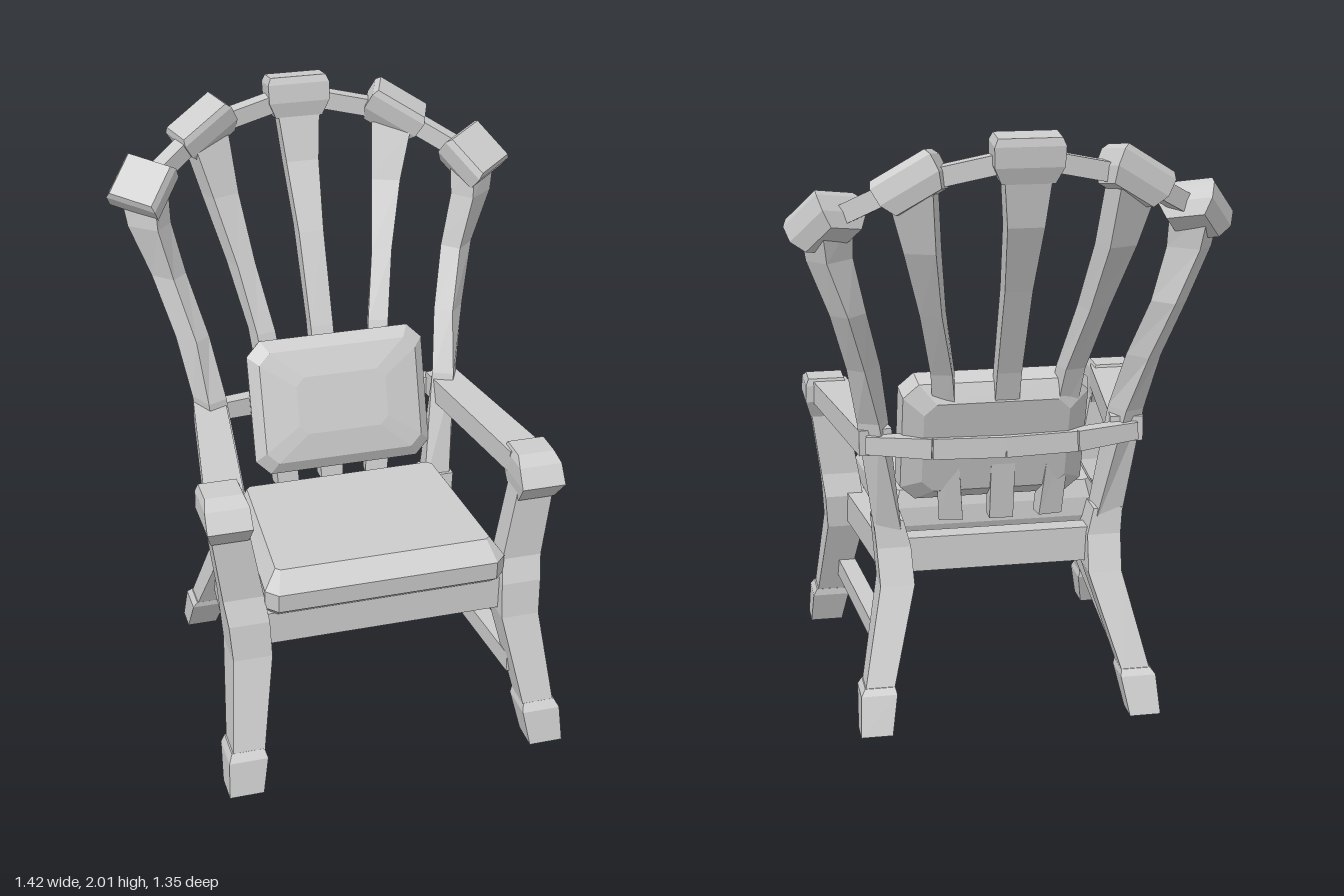
import * as THREE from 'three';

const wood = new THREE.MeshStandardMaterial({ color: 0xcccccc });
wood.name = 'paleGrey';
wood.flatShading = true;

const vec = (p) => new THREE.Vector3(...p);

// Skins a stack of rings (anticlockwise seen from the far end) and closes both ends
function loft(rings, side = 1) {
  const rs = rings.map((r) => {
    const pts = r.map((p) => new THREE.Vector3(p.x * side, p.y, p.z));
    return side < 0 ? pts.reverse() : pts;
  });
  const out = [];
  const tri = (a, b, c) => [a, b, c].forEach((p) => out.push(p.x, p.y, p.z));
  const n = rs[0].length;
  for (let k = 0; k < rs.length - 1; k++) {
    for (let i = 0; i < n; i++) {
      const j = (i + 1) % n;
      tri(rs[k][i], rs[k][j], rs[k + 1][j]);
      tri(rs[k][i], rs[k + 1][j], rs[k + 1][i]);
    }
  }
  const first = rs[0], last = rs[rs.length - 1];
  for (let i = 1; i < n - 1; i++) {
    tri(first[0], first[i + 1], first[i]);
    tri(last[0], last[i], last[i + 1]);
  }
  const g = new THREE.BufferGeometry();
  g.setAttribute('position', new THREE.Float32BufferAttribute(out, 3));
  g.computeVertexNormals();
  return g;
}

// Rectangle of size w along T and d along V
function rect(c, T, V, w, d) {
  return [[1, 1], [1, -1], [-1, -1], [-1, 1]].map(([a, b]) =>
    c.clone().addScaledVector(T, a * w / 2).addScaledVector(V, b * d / 2));
}

// Upright post from sections [x, y, z, width, depth, yaw in degrees]
function post(sections, side) {
  return loft(sections.map(([x, y, z, w, d, yaw = 0]) => {
    const a = THREE.MathUtils.degToRad(yaw), c = Math.cos(a), s = Math.sin(a);
    return rect(vec([x, y, z]), vec([c, 0, s]), vec([-s, 0, c]), w, d);
  }), side);
}

// Straight bar between two points, w across and h high, with optional end size
function bar(a, b, w, h, w2 = w, h2 = h, side = 1) {
  const A = vec(a), B = vec(b), U = B.clone().sub(A).normalize();
  const T = new THREE.Vector3(0, 1, 0).cross(U).normalize();
  const V = T.clone().cross(U);
  return loft([rect(A, T, V, w, h), rect(B, T, V, w2, h2)], side);
}

// Chunky bevelled block at the head of a slat
function head({ at, T, V, size: [w, d, h] }, side) {
  const t = vec(T).normalize(), U = vec(V).cross(t).normalize(), v = t.clone().cross(U);
  const rows = [[-0.55, 0.76, 0.7], [-0.15, 0.98, 1], [0.32, 1, 1], [0.5, 0.9, 0.86]];
  return loft(rows.map(([u, a, b]) =>
    rect(vec(at).addScaledVector(U, u * h), t, v, w * a, d * b)), side);
}

// Soft slab from sections [y, half width, back z, front z, corner cut]
function slab(sections, taper = 0) {
  return loft(sections.map(([y, w, z0, z1, c]) => [
    [w - c, z1], [w, z1 - c], [w, z0 + c], [w - c, z0],
    [c - w, z0], [-w, z0 + c], [-w, z1 - c], [c - w, z1],
  ].map(([x, z]) => new THREE.Vector3(x * (1 + taper * (z - z1)), y, z))));
}

export function createModel() {
  const chair = new THREE.Group();
  chair.name = 'chair';
  const add = (name, geometry) => {
    const m = new THREE.Mesh(geometry, wood);
    m.name = name;
    chair.add(m);
    return m;
  };

  // Heads of the fan, from the centre outwards
  const heads = [
    { at: [0, 1.935, -0.62], T: [1, 0, 0], V: [0, 0.12, 1], size: [0.216, 0.1, 0.135] },
    { at: [0.34, 1.86, -0.57], T: [0.175, -0.11, 0.05], V: [-0.03, -0.02, 0.1], size: [0.21, 0.125, 0.12] },
    { at: [0.58, 1.72, -0.42], T: [0.1, -0.12, 0.1], V: [-0.16, -0.03, 0.11], size: [0.175, 0.18, 0.12] },
  ];

  // Central slat
  add('centreSlat', post([
    [0, 0.66, -0.19, 0.08, 0.06], [0, 0.95, -0.235, 0.08, 0.07], [0, 1.2, -0.325, 0.08, 0.07],
    [0, 1.5, -0.465, 0.088, 0.08], [0, 1.72, -0.575, 0.115, 0.08], [0, 1.9, -0.62, 0.15, 0.07],
  ]));
  add('centreHead', head(heads[0]));

  for (const side of [1, -1]) {
    const s = side > 0 ? 'left' : 'right';

    // Front leg with foot cuff, running up to the arm
    add(s + 'FrontFoot', post([
      [0.522, 0, 0.622, 0.115, 0.1], [0.508, 0.12, 0.585, 0.13, 0.13], [0.505, 0.145, 0.575, 0.11, 0.11],
    ], side));
    add(s + 'FrontLeg', post([
      [0.505, 0.12, 0.585, 0.105, 0.105], [0.46, 0.44, 0.462, 0.13, 0.15], [0.465, 0.56, 0.445, 0.135, 0.15],
      [0.475, 0.64, 0.44, 0.135, 0.095], [0.513, 0.89, 0.44, 0.125, 0.09],
    ], side));
    add(s + 'ArmBlock', post([
      [0.514, 0.86, 0.44, 0.125, 0.1], [0.521, 0.925, 0.447, 0.148, 0.185],
      [0.521, 0.985, 0.425, 0.145, 0.15], [0.521, 1.01, 0.405, 0.125, 0.1],
    ], side));
    add(s + 'Arm', bar([0.42, 0.955, -0.24], [0.51, 0.96, 0.4], 0.11, 0.085, 0.125, 0.08, side));

    // Back leg
    add(s + 'BackFoot', post([
      [0.455, 0, -0.395, 0.105, 0.085], [0.44, 0.125, -0.335, 0.12, 0.115], [0.435, 0.145, -0.325, 0.1, 0.1],
    ], side));
    add(s + 'BackLeg', post([
      [0.44, 0.12, -0.335, 0.095, 0.095], [0.355, 0.45, -0.185, 0.115, 0.12],
      [0.36, 0.57, -0.135, 0.115, 0.13], [0.375, 0.66, -0.135, 0.1, 0.11],
    ], side));

    // Curved outer post of the back
    add(s + 'OuterPost', post([
      [0.37, 0.6, -0.135, 0.09, 0.1, 5], [0.425, 1.02, -0.205, 0.075, 0.095, 25],
      [0.46, 1.22, -0.285, 0.07, 0.09, 40], [0.515, 1.42, -0.375, 0.075, 0.09, 45],
      [0.57, 1.6, -0.395, 0.09, 0.115, 50], [0.58, 1.72, -0.415, 0.1, 0.13, 52],
    ], side));
    add(s + 'OuterHead', head(heads[2], side));

    // Inner slat
    add(s + 'InnerSlat', post([
      [0.165, 0.66, -0.18, 0.08, 0.06, 8], [0.185, 0.95, -0.23, 0.075, 0.07, 10],
      [0.21, 1.2, -0.315, 0.07, 0.07, 14], [0.255, 1.42, -0.42, 0.07, 0.08, 18],
      [0.3, 1.64, -0.52, 0.1, 0.085, 20], [0.335, 1.83, -0.57, 0.14, 0.085, 20],
    ], side));
    add(s + 'InnerHead', head(heads[1], side));

    // Top rail threaded through the heads
    for (let i = 0; i < 2; i++) {
      add(s + 'TopRail' + (i + 1), bar(heads[i].at, heads[i + 1].at, 0.055, 0.06, 0.055, 0.06, side));
    }

    // Bowed rail behind the slats
    add(s + 'BackBrace', bar([0, 0.935, -0.285], [0.24, 0.94, -0.28], 0.05, 0.07, 0.05, 0.07, side));
    add(s + 'BackBraceEnd', bar([0.24, 0.94, -0.28], [0.45, 0.95, -0.235], 0.05, 0.07, 0.05, 0.06, side));

    // Side stretcher and seat rail
    add(s + 'Stretcher', bar([0.395, 0.245, -0.25], [0.455, 0.245, 0.52], 0.06, 0.07, 0.06, 0.07, side));
    add(s + 'SeatRail', bar([0.36, 0.515, -0.14], [0.425, 0.515, 0.44], 0.07, 0.11, 0.07, 0.11, side));
  }

  // Seat frame
  add('frontRail', bar([-0.43, 0.513, 0.455], [0.43, 0.513, 0.455], 0.07, 0.115));
  add('backRail', bar([-0.37, 0.53, -0.14], [0.37, 0.53, -0.14], 0.07, 0.12));
  add('seatPanel', slab([[0.465, 0.41, -0.13, 0.45, 0.005], [0.56, 0.41, -0.13, 0.45, 0.005]], 0.2));

  // Seat cushion
  add('seatCushion', slab([
    [0.565, 0.385, -0.07, 0.49, 0.02], [0.6, 0.41, -0.085, 0.535, 0.04],
    [0.665, 0.41, -0.085, 0.54, 0.04], [0.725, 0.365, -0.07, 0.48, 0.015],
  ], 0.15));

  // Back cushion, leaning on the slats
  const pillow = add('backCushion', slab([
    [-0.075, 0.24, -0.17, 0.17, 0.04], [-0.035, 0.305, -0.225, 0.225, 0.05],
    [0.025, 0.315, -0.235, 0.235, 0.05], [0.06, 0.28, -0.195, 0.195, 0.04], [0.078, 0.16, -0.1, 0.1, 0.03],
  ]));
  pillow.rotation.x = THREE.MathUtils.degToRad(73);
  pillow.position.set(0.03, 0.955, -0.205);

  return chair;
}
